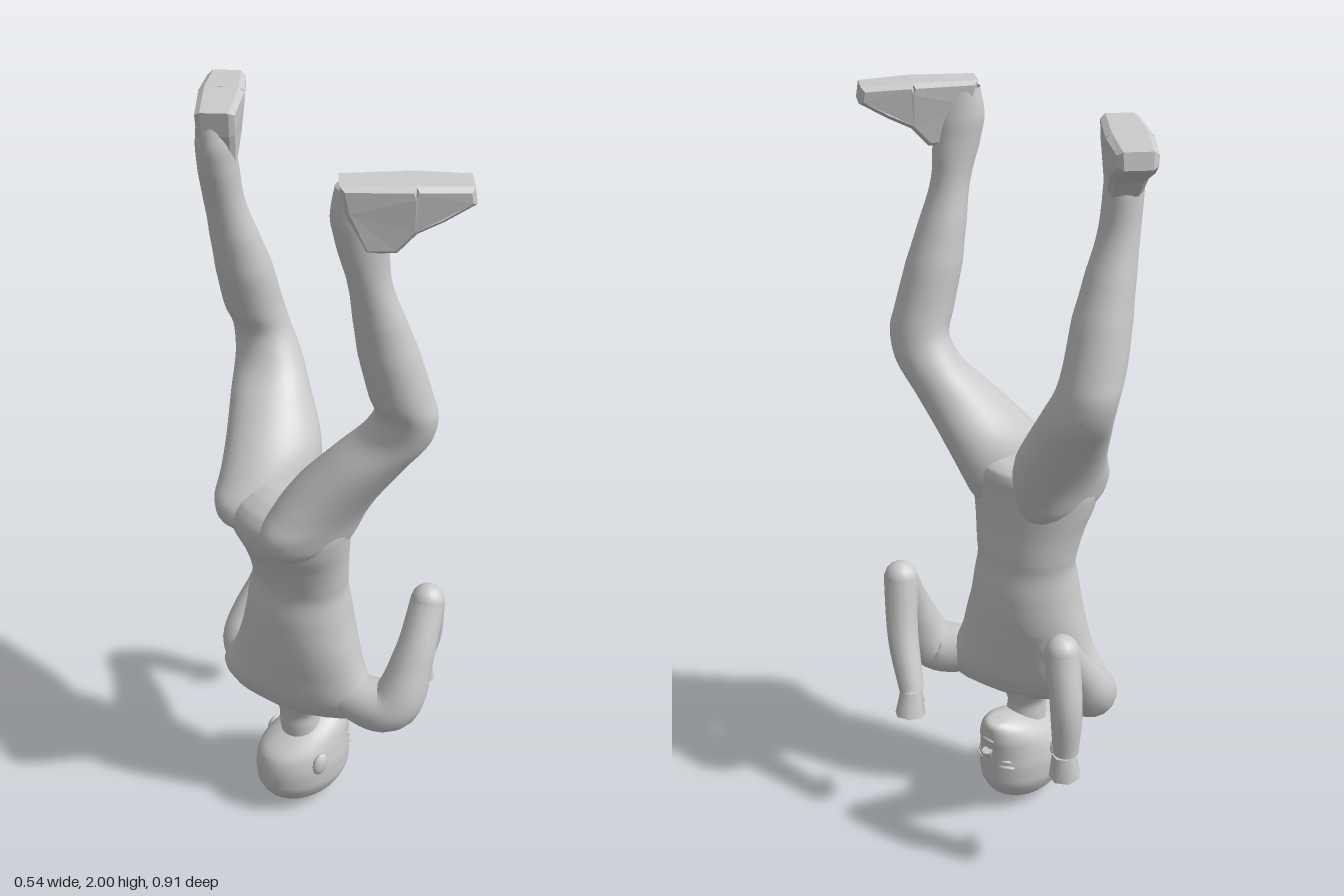
import * as THREE from 'three';

const material = new THREE.MeshStandardMaterial({ color: 0xcccccc, side: THREE.DoubleSide });

function part(parent, name, geometry) {
  const mesh = new THREE.Mesh(geometry, material);
  mesh.name = name;
  parent.add(mesh);
  return mesh;
}

// Turns an offset about the vertical axis; a positive twist brings the +z end forward (+x)
function turned(dx, dz, twist) {
  const c = Math.cos(twist), s = Math.sin(twist);
  return [dx * c + dz * s, dz * c - dx * s];
}

// Smooth body through horizontal ellipses: rows of [y, x, z, radiusX, radiusZ, twist]
function loft(rows, steps = 48, sides = 28) {
  const centre = new THREE.CatmullRomCurve3(rows.map(r => new THREE.Vector3(r[1], r[0], r[2])));
  const shape = new THREE.CatmullRomCurve3(rows.map(r => new THREE.Vector3(r[3], r[4], r[5] ?? 0)));
  const pos = [], index = [];
  for (let i = 0; i <= steps; i++) {
    const c = centre.getPoint(i / steps), r = shape.getPoint(i / steps);
    for (let j = 0; j < sides; j++) {
      const t = j / sides * Math.PI * 2;
      const [dx, dz] = turned(Math.cos(t) * r.x, Math.sin(t) * r.y, r.z);
      pos.push(c.x + dx, c.y, c.z + dz);
      if (i === steps) continue;
      const a = i * sides + j, b = i * sides + (j + 1) % sides;
      index.push(a, a + sides, b, b, a + sides, b + sides);
    }
  }
  const g = new THREE.BufferGeometry();
  g.setAttribute('position', new THREE.Float32BufferAttribute(pos, 3));
  g.setIndex(index);
  g.computeVertexNormals();
  return g;
}

// Round limb along a path, with its radius given at even intervals
function limb(points, radii) {
  const path = new THREE.CatmullRomCurve3(points.map(p => new THREE.Vector3(...p)));
  const size = new THREE.CatmullRomCurve3(radii.map((r, i) => new THREE.Vector3(r, i, 0)));
  const steps = 28, sides = 16;
  const g = new THREE.TubeGeometry(path, steps, 1, sides);
  const p = g.attributes.position, v = new THREE.Vector3();
  for (let i = 0; i <= steps; i++) {
    const c = path.getPointAt(i / steps), r = size.getPoint(i / steps).x;
    for (let j = 0; j <= sides; j++) {
      const k = i * (sides + 1) + j;
      v.fromBufferAttribute(p, k).sub(c).multiplyScalar(r).add(c);
      p.setXYZ(k, v.x, v.y, v.z);
    }
  }
  g.computeVertexNormals();
  return g;
}

function ellipsoid(parent, name, at, scale, detail = 16) {
  const m = part(parent, name, new THREE.SphereGeometry(1, detail, Math.ceil(detail * 0.7)));
  m.position.set(...at);
  m.scale.set(...scale);
  return m;
}

// The chest is turned against the hips
const torsoRows = [
  [0.335, -0.09, 0, 0.02, 0.03, 0.4], [0.345, -0.09, 0, 0.055, 0.12, 0.42], [0.37, -0.09, 0, 0.075, 0.205, 0.43],
  [0.42, -0.09, 0, 0.095, 0.23, 0.43], [0.50, -0.088, 0, 0.108, 0.195, 0.4], [0.60, -0.085, 0, 0.122, 0.168, 0.3],
  [0.70, -0.085, 0, 0.124, 0.15, 0.15], [0.80, -0.085, 0, 0.115, 0.147, 0], [0.88, -0.098, 0, 0.125, 0.16],
  [0.94, -0.112, 0, 0.139, 0.175], [1.00, -0.115, 0, 0.143, 0.185], [1.035, -0.103, 0, 0.136, 0.178],
  [1.06, -0.09, 0, 0.115, 0.145], [1.075, -0.085, 0, 0.08, 0.09], [1.08, -0.085, 0, 0.004, 0.004]];

const legRows = [
  [0.87, -0.10, 0.07, 0.01, 0.01], [0.92, -0.11, 0.08, 0.10, 0.065], [0.97, -0.12, 0.09, 0.143, 0.085],
  [1.02, -0.112, 0.098, 0.155, 0.093], [1.07, -0.088, 0.112, 0.146, 0.10], [1.13, -0.06, 0.14, 0.13, 0.105],
  [1.22, -0.02, 0.20, 0.104, 0.10], [1.30, 0.016, 0.255, 0.08, 0.093], [1.37, 0.018, 0.285, 0.07, 0.083],
  [1.43, -0.003, 0.287, 0.075, 0.078], [1.55, -0.037, 0.28, 0.072, 0.073], [1.65, -0.066, 0.277, 0.06, 0.062, -0.1],
  [1.75, -0.094, 0.275, 0.05, 0.05, -0.4], [1.85, -0.112, 0.27, 0.06, 0.048, -0.65],
  [1.92, -0.12, 0.266, 0.061, 0.045, -0.72], [1.98, -0.122, 0.266, 0.05, 0.038, -0.72]];

const headRows = [
  [0.002, -0.08, 0, 0.005, 0.005], [0.016, -0.08, 0, 0.065, 0.05], [0.05, -0.08, 0, 0.117, 0.085],
  [0.10, -0.08, 0, 0.142, 0.106], [0.15, -0.08, 0, 0.144, 0.108], [0.20, -0.073, 0, 0.138, 0.10],
  [0.24, -0.042, 0, 0.112, 0.085], [0.27, -0.01, 0, 0.08, 0.064], [0.287, 0.012, 0, 0.056, 0.044],
  [0.296, 0.025, 0, 0.032, 0.026], [0.298, 0.025, 0, 0.003, 0.003]];

// Foot from a side profile, sole upward, running from heel to toe
function foot(parent, name, heel, toe) {
  const s = new THREE.Shape([
    [0, 1.99], [0.145, 1.99], [0.15, 1.975], [0.157, 1.99], [0.268, 1.985], [0.272, 1.96],
    [0.21, 1.925], [0.15, 1.895], [0.11, 1.85], [0.05, 1.85], [0.01, 1.94]].map(p => new THREE.Vector2(...p)));
  const g = new THREE.ExtrudeGeometry(s, {
    depth: 0.082, bevelEnabled: true, bevelSize: 0.01, bevelThickness: 0.014, bevelSegments: 1 });
  g.translate(0, 0, -0.041);
  const p = g.attributes.position;
  for (let i = 0; i < p.count; i++) {
    const u = p.getX(i), top = Math.max(0, 1.97 - p.getY(i));
    const taper = 1 - Math.max(0, u - 0.22) * 3 - Math.max(0, 0.05 - u) * 3;
    p.setZ(i, p.getZ(i) * taper * (1 - top * 2.2));
  }
  g.computeVertexNormals();
  const m = part(parent, name, g);
  m.position.set(heel[0], 0, heel[1]);
  m.rotation.y = -Math.atan2(toe[1] - heel[1], toe[0] - heel[0]);
}

// Thin jagged relief lying on the front of the chest
function chestRelief(parent) {
  const s = new THREE.Shape([
    [0.11, 0.42], [0.07, 0.50], [0.03, 0.56], [0, 0.58], [-0.04, 0.50], [-0.08, 0.43], [-0.07, 0.52],
    [-0.11, 0.52], [-0.08, 0.56], [-0.10, 0.59], [-0.06, 0.60], [-0.05, 0.64], [-0.02, 0.62], [0, 0.65],
    [0.02, 0.62], [0.05, 0.64], [0.06, 0.59], [0.10, 0.58], [0.08, 0.55], [0.11, 0.52], [0.09, 0.49]
  ].map(p => new THREE.Vector2(...p)));
  const g = new THREE.ShapeGeometry(s), p = g.attributes.position;
  for (let i = 0; i < p.count; i++) {
    const across = p.getX(i), y = p.getY(i);
    const k = torsoRows.findIndex(r => r[0] > y), a = torsoRows[k - 1], b = torsoRows[k];
    const [, x, , rx, rz, twist] = a.map((v, n) => THREE.MathUtils.lerp(v, b[n], (y - a[0]) / (b[0] - a[0])));
    const [dx, dz] = turned(rx * Math.sqrt(1 - (across / rz) ** 2) + 0.008, across, twist);
    p.setXYZ(i, x + dx, y, dz);
  }
  g.computeVertexNormals();
  part(parent, 'chestRelief', g);
}

export function createModel() {
  const model = new THREE.Group();
  model.name = 'upsideDownFigure';

  part(model, 'torso', loft(torsoRows, 84));
  chestRelief(model);
  part(model, 'neck', loft([
    [0.22, -0.08, 0, 0.06, 0.055], [0.29, -0.09, 0, 0.058, 0.053], [0.34, -0.09, 0, 0.062, 0.065, 0.2],
    [0.38, -0.09, 0, 0.07, 0.11, 0.4]], 12, 20));

  // Head hangs lowest, its face toward +x
  const head = new THREE.Group();
  head.name = 'head';
  model.add(head);
  part(head, 'skull', loft(headRows, 44));
  const nose = part(head, 'nose', new THREE.ConeGeometry(0.016, 0.05, 8));
  nose.position.set(0.064, 0.188, 0);
  nose.rotation.z = Math.PI - 0.3;
  ellipsoid(head, 'lips', [0.066, 0.243, 0], [0.008, 0.008, 0.022], 10);
  for (const side of [1, -1]) {
    ellipsoid(head, 'eye', [0.044, 0.178, side * 0.042], [0.01, 0.008, 0.02], 10).rotation.y = -side * 0.35;
    ellipsoid(head, 'brow', [0.045, 0.162, side * 0.045], [0.01, 0.005, 0.028], 10).rotation.y = -side * 0.35;
    ellipsoid(head, 'ear', [-0.10, 0.178, side * 0.103], [0.025, 0.034, 0.014], 12).rotation.z = -0.2;
  }

  // Legs reach upward
  for (const side of [1, -1]) {
    part(model, side > 0 ? 'leftLeg' : 'rightLeg',
      loft(legRows.map(([y, x, z, a, b, twist = 0]) => [y, x, side * z, a, b, side * twist]), 80));
  }
  foot(model, 'leftFoot', [-0.152, 0.255], [0.066, 0.418]);
  foot(model, 'rightFoot', [-0.149, -0.222], [0.033, -0.425]);

  // Each arm folds up to the elbow and back down to the hand
  const arms = [
    { name: 'left', shoulder: [-0.04, 0.43, 0.14], bulge: [0.025, 0.43, 0.25], mid: [0.09, 0.57, 0.262],
      elbow: [0.158, 0.708, 0.235], fore: [0.19, 0.56, 0.20], wrist: [0.22, 0.42, 0.14], turn: 0.5 },
    { name: 'right', shoulder: [-0.13, 0.43, -0.13], bulge: [-0.105, 0.425, -0.215], mid: [0.01, 0.55, -0.265],
      elbow: [0.108, 0.685, -0.298], fore: [0.13, 0.55, -0.335], wrist: [0.132, 0.41, -0.338], turn: -0.2 }];
  for (const a of arms) {
    const arm = new THREE.Group();
    arm.name = a.name + 'Arm';
    model.add(arm);
    part(arm, 'upperArm', limb([a.shoulder, a.bulge, a.mid, a.elbow], [0.06, 0.072, 0.068, 0.057, 0.05, 0.046]));
    ellipsoid(arm, 'elbow', a.elbow, [0.046, 0.05, 0.046]);
    part(arm, 'forearm', limb([a.elbow, a.fore, a.wrist], [0.046, 0.043, 0.04, 0.033]));
    // Stubby hand that widens toward the fingers
    const hand = part(arm, 'hand', new THREE.CylinderGeometry(0.03, 0.042, 0.07, 7));
    hand.position.set(a.wrist[0] + 0.005, a.wrist[1] - 0.036, a.wrist[2]);
    hand.rotation.z = a.turn * 0.4;
    hand.rotation.y = a.turn;
    const thumb = ellipsoid(arm, 'thumb', [a.wrist[0] - 0.035, a.wrist[1] - 0.05, a.wrist[2] + 0.01], [0.024, 0.013, 0.013], 8);
    thumb.rotation.z = 0.5;
  }
  return model;
}
